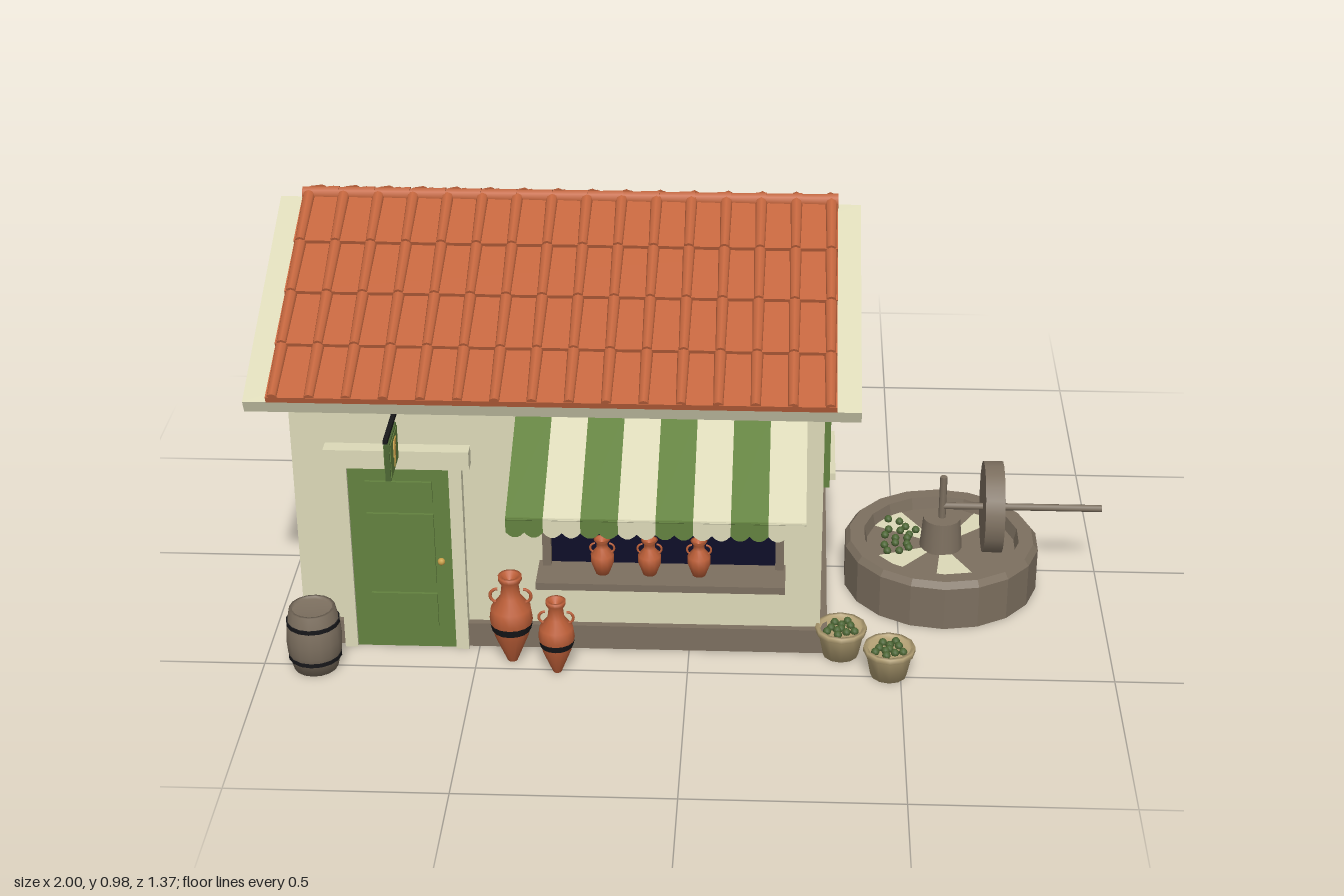
import * as THREE from 'three';

const mat = (name, color, flat) => {
  const m = new THREE.MeshStandardMaterial({ color });
  m.name = name;
  return m;
};

export function createModel() {
  const cream = mat('cream plaster', 0xdcd9b8), tile = mat('roof terracotta', 0xc4663e);
  const green = mat('painted green', 0x63823f), stone = mat('brown stone', 0x7c6f5f);
  const navy = mat('dark glass', 0x0d0d28), gold = mat('gold', 0xc9a048);
  const black = mat('black iron', 0x17171a), tan = mat('basket tan', 0xb3a074);
  const olive = mat('olive green', 0x4c6634), clay = mat('pot clay', 0xbd5f38);

  const model = new THREE.Group();
  const group = (name, parent = model, x = 0, y = 0, z = 0) => {
    const g = new THREE.Group();
    g.name = name;
    g.position.set(x, y, z);
    parent.add(g);
    return g;
  };
  const add = (parent, name, geo, m, x = 0, y = 0, z = 0) => {
    const mesh = new THREE.Mesh(geo, m);
    mesh.name = name;
    mesh.position.set(x, y, z);
    parent.add(mesh);
    return mesh;
  };
  // box given by its extents
  const box = (parent, name, m, x0, x1, y0, y1, z0, z1) => add(parent, name,
    new THREE.BoxGeometry(x1 - x0, y1 - y0, z1 - z0), m, (x0 + x1) / 2, (y0 + y1) / 2, (z0 + z1) / 2);
  const cyl = (parent, name, m, r0, r1, h, n, x, y, z) =>
    add(parent, name, new THREE.CylinderGeometry(r1, r0, h, n), m, x, y, z);
  const rod = (parent, name, m, a, b, r) => {
    const p = new THREE.Vector3(...a), d = new THREE.Vector3(...b).sub(p);
    const mesh = cyl(parent, name, m, r, r, d.length(), 8, 0, 0, 0);
    mesh.position.copy(p).addScaledVector(d, 0.5);
    mesh.quaternion.setFromUnitVectors(new THREE.Vector3(0, 1, 0), d.normalize());
  };
  const lathe = (parent, name, m, pts, x, y, z, n = 16) => add(parent, name,
    new THREE.LatheGeometry(pts.map(p => new THREE.Vector2(...p)), n), m, x, y, z);
  const extrude = (pts, depth) => new THREE.ExtrudeGeometry(
    new THREE.Shape(pts.map(p => new THREE.Vector2(...p))), { depth, bevelEnabled: false });

  // Walls, plinth and eave band
  const CX = -0.305, CZ = -0.09;
  const house = group('house');
  const walls = add(house, 'walls', extrude(
    [[-0.39, 0], [0.57, 0], [0.57, 0.69], [0.09, 0.91], [-0.39, 0.69]], 1.23), cream, -0.92, 0, 0);
  walls.rotation.y = Math.PI / 2;
  box(house, 'plinth', stone, -0.937, 0.327, 0.002, 0.065, -0.587, 0.407);
  box(house, 'eaveBand', cream, -0.937, 0.327, 0.66, 0.688, -0.587, 0.407);

  // Roof: two mirrored slopes with stepped rows of tiles
  const slope = Math.atan(0.436), len = 0.638, rows = 4, step = len / rows;
  for (const side of [0, 1]) {
    const half = group(side ? 'backRoof' : 'frontRoof', model, CX, 0.948, CZ);
    half.rotation.order = 'YXZ';
    half.rotation.set(slope, side * Math.PI, 0);
    box(half, 'roofBoard', cream, -0.695, 0.695, -0.034, 0, 0, len);
    for (let i = 0; i < rows; i++) {
      const row = group('tileRow', half, 0, 0.009, (i + 0.5) * step);
      row.rotation.x = -0.06;
      box(row, 'tilePans', tile, -0.64, 0.64, -0.008, 0.008, -step / 2, step / 2 + 0.005);
      for (let k = 0; k < 16; k++) {
        const rib = cyl(row, 'tileRib', tile, 0.015, 0.012, step, 8, -0.625 + k * 1.25 / 15, 0.006, 0.004);
        rib.rotation.x = Math.PI / 2;
      }
    }
  }
  const ridge = group('ridgeCaps');
  for (let k = 0; k < 15; k++) {
    const cap = cyl(ridge, 'ridgeCap', tile, 0.019, 0.016, 0.088, 8, -0.945 + (k + 0.5) * 1.28 / 15, 0.957, CZ);
    cap.rotation.z = Math.PI / 2;
  }

  // Lightning bolt ornaments on both gables
  const boltGeo = extrude([[-0.017, 0.07], [0.041, 0.07], [0.012, 0.027], [0.034, 0.027],
    [-0.025, -0.072], [-0.01, -0.01], [-0.043, -0.01]], 0.008);
  for (const s of [1, -1])
    add(house, 'gableBolt', boltGeo, gold, CX + s * 0.613, 0.788, CZ).rotation.y = s * Math.PI / 2;

  // Shuttered windows, built facing +z
  const shutterWindow = (name, x, z, ry) => {
    const w = group(name, model, x, 0, z);
    w.rotation.y = ry;
    box(w, 'glass', navy, -0.085, 0.085, 0.27, 0.49, 0, 0.006);
    for (const s of [-1, 1]) {
      box(w, 'jamb', cream, s * 0.092 - 0.012, s * 0.092 + 0.012, 0.27, 0.49, 0, 0.02);
      const sh = group('shutter', w, s * 0.145);
      box(sh, 'shutterPanel', green, -0.042, 0.042, 0.28, 0.485, 0, 0.012);
      for (const e of [-1, 1]) box(sh, 'shutterStile', green, e * 0.036 - 0.006, e * 0.036 + 0.006, 0.28, 0.485, 0.01, 0.02);
      for (let k = 0; k < 8; k++) {
        const slat = box(sh, 'slat', green, -0.031, 0.031, 0.288 + k * 0.024, 0.308 + k * 0.024, 0.009, 0.015);
        slat.rotation.x = -0.35;
      }
    }
    box(w, 'lintel', cream, -0.117, 0.117, 0.488, 0.515, 0, 0.032);
    box(w, 'sill', cream, -0.112, 0.112, 0.26, 0.278, 0, 0.035);
    box(w, 'verticalBar', green, -0.005, 0.005, 0.275, 0.49, 0, 0.012);
    box(w, 'crossBar', green, -0.085, 0.085, 0.397, 0.407, 0, 0.012);
  };
  shutterWindow('rightWindow', 0.31, CZ, Math.PI / 2);
  shutterWindow('leftWindow', -0.92, CZ, -Math.PI / 2);
  shutterWindow('backWindow', CX, -0.57, Math.PI);

  // Door with raised panels
  const door = group('door', model, -0.6725, 0, 0.39);
  box(door, 'doorLeaf', green, -0.12, 0.12, 0, 0.49, 0, 0.019);
  for (const [y0, y1] of [[0.06, 0.15], [0.18, 0.365], [0.395, 0.45]])
    box(door, 'doorPanel', green, -0.078, 0.078, y0, y1, 0.015, 0.026);
  for (const s of [-1, 1]) box(door, 'doorPost', cream, s * 0.133 - 0.015, s * 0.133 + 0.015, 0, 0.49, 0, 0.028);
  box(door, 'doorLintel', cream, -0.168, 0.168, 0.49, 0.537, 0, 0.037);
  add(door, 'doorKnob', new THREE.SphereGeometry(0.009, 10, 8), gold, 0.092, 0.24, 0.027);

  // Hanging sign over the door
  const sign = group('hangingSign', model, -0.67);
  box(sign, 'signBar', black, -0.005, 0.005, 0.63, 0.64, 0.39, 0.568);
  for (const z of [0.465, 0.53]) box(sign, 'signHanger', black, -0.002, 0.002, 0.615, 0.632, z - 0.003, z + 0.003);
  box(sign, 'signEdge', olive, -0.006, 0.006, 0.528, 0.62, 0.44, 0.553);
  box(sign, 'signBoard', green, -0.008, 0.008, 0.533, 0.615, 0.445, 0.548);
  for (const s of [-1, 1]) {
    const b = add(sign, 'signBolt', boltGeo, gold, s * 0.007, 0.574, 0.497);
    b.rotation.y = s * Math.PI / 2;
    b.scale.set(0.45, 0.45, 0.45);
  }

  // Shop window with sill
  const shop = group('shopWindow');
  box(shop, 'shopGlass', navy, -0.325, 0.21, 0.235, 0.53, 0.39, 0.396);
  for (const x of [-0.332, 0.212]) box(shop, 'shopPost', stone, x - 0.01, x + 0.01, 0.235, 0.54, 0.39, 0.417);
  box(shop, 'shopHeader', stone, -0.342, 0.222, 0.525, 0.545, 0.39, 0.417);
  box(shop, 'shopSill', stone, -0.352, 0.226, 0.216, 0.234, 0.39, 0.495);

  // Striped awning with scalloped valance and stays
  const awning = group('awning');
  const sw = 0.665 / 8;
  const scallop = new THREE.Shape().moveTo(-sw / 2, 0.035).lineTo(-sw / 2, 0);
  for (let k = 0; k < 2; k++) {
    const x = -sw / 2 + k * sw / 2;
    scallop.quadraticCurveTo(x + sw / 4, -0.026, x + sw / 2, 0);
  }
  scallop.lineTo(sw / 2, 0.035);
  const valance = new THREE.ExtrudeGeometry(scallop, { depth: 0.005, bevelEnabled: false, curveSegments: 5 });
  for (let i = 0; i < 8; i++) {
    const x = -0.395 + (i + 0.5) * sw, m = i % 2 ? cream : green;
    const s = add(awning, 'awningStripe', new THREE.BoxGeometry(sw, 0.006, 0.307), m, x, 0.566, 0.534);
    s.rotation.x = Math.atan(0.125 / 0.275);
    add(awning, 'valanceStripe', valance, m, x, 0.473, 0.669);
  }
  for (const x of [-0.385, 0.26]) rod(awning, 'awningStay', stone, [x, 0.485, 0.39], [x, 0.503, 0.672], 0.004);

  // Small jars on the sill
  const handles = (parent, r, y, size) => {
    for (const s of [-1, 1]) {
      const h = add(parent, 'handle', new THREE.TorusGeometry(size, size * 0.22, 6, 10, Math.PI), clay, s * r, y, 0);
      h.rotation.z = -s * Math.PI / 2;
    }
  };
  for (const x of [-0.2, -0.09, 0.025]) {
    const jar = group('sillJar', model, x, 0.234, 0.44);
    lathe(jar, 'jarBody', clay, [[0, 0], [0.016, 0], [0.027, 0.03], [0.027, 0.05], [0.013, 0.068],
      [0.013, 0.08], [0.02, 0.09], [0.015, 0.09], [0, 0.076]], 0, 0, 0, 12);
    handles(jar, 0.016, 0.066, 0.012);
  }

  // Tall pointed amphorae with black bands
  for (const [x, z, s] of [[-0.415, 0.465, 1], [-0.305, 0.51, 0.84]]) {
    const pot = group('amphora', model, x, 0, z);
    pot.scale.setScalar(s);
    lathe(pot, 'amphoraBody', clay, [[0, 0], [0.012, 0.005], [0.04, 0.075], [0.051, 0.12], [0.047, 0.15], [0.024, 0.18],
      [0.02, 0.21], [0.028, 0.225], [0.028, 0.235], [0.02, 0.235], [0, 0.21]], 0, 0, 0);
    lathe(pot, 'amphoraBand', black, [[0.046, 0.092], [0.051, 0.112]], 0, 0, 0);
    handles(pot, 0.03, 0.18, 0.018);
  }

  // Barrel
  const barrel = group('barrel', model, -0.877, 0, 0.5);
  lathe(barrel, 'barrelBody', stone, [[0, 0], [0.052, 0], [0.064, 0.05], [0.066, 0.08], [0.064, 0.11], [0.054, 0.16],
    [0.047, 0.16], [0.047, 0.152], [0, 0.152]], 0, 0, 0);
  for (const [y, r] of [[0.035, 0.063], [0.125, 0.063]]) cyl(barrel, 'barrelHoop', black, r, r, 0.01, 16, 0, y, 0);

  // Baskets of olives
  const oliveGeo = new THREE.SphereGeometry(0.01, 8, 6);
  for (const [x, z] of [[0.36, 0.4], [0.472, 0.485]]) {
    const basket = group('basket', model, x, 0, z);
    lathe(basket, 'basketBody', tan, [[0, 0], [0.043, 0], [0.055, 0.06], [0.061, 0.062], [0.061, 0.075],
      [0.052, 0.075], [0.05, 0.064], [0, 0.064]], 0, 0, 0, 12);
    for (let k = 0; k < 11; k++) {
      const r = 0.012 * Math.sqrt(k), a = k * 2.4;
      add(basket, 'olive', oliveGeo, olive, r * Math.cos(a), 0.068, r * Math.sin(a));
    }
  }

  // Olive mill: basin, hub, runner stone and pole
  const mill = group('oliveMill', model, 0.61, 0, 0.045);
  const basin = lathe(mill, 'basin', stone, [[0, 0], [0.24, 0], [0.24, 0], [0.24, 0.11], [0.24, 0.11], [0.228, 0.125], [0.228, 0.125],
    [0.192, 0.125], [0.192, 0.125], [0.185, 0.095], [0.185, 0.095], [0, 0.095]], 0, 0, 0, 18);
  basin.geometry = basin.geometry.toNonIndexed();
  basin.geometry.computeVertexNormals();
  for (const [a, w] of [[2.1, 0.55], [3.5, 0.5], [4.6, 0.6], [0.7, 0.35]]) {
    const patch = add(mill, 'pulpPatch', new THREE.RingGeometry(0.05, 0.183, 8, 1, a, w), cream, 0, 0.0965, 0);
    patch.rotation.x = -Math.PI / 2;
  }
  cyl(mill, 'hub', stone, 0.053, 0.046, 0.08, 14, 0, 0.135, 0);
  cyl(mill, 'post', stone, 0.009, 0.009, 0.12, 8, 0, 0.228, 0);
  cyl(mill, 'runnerStone', stone, 0.113, 0.113, 0.047, 20, 0.122, 0.207, 0).rotation.z = Math.PI / 2;
  rod(mill, 'pole', stone, [0, 0.207, 0], [0.39, 0.207, 0], 0.009);
  for (let k = 0; k < 16; k++) {
    const a = 2.35 + (k % 5) * 0.28 + (k % 2) * 0.07, r = 0.085 + Math.floor(k / 5) * 0.028;
    add(mill, 'millOlive', oliveGeo, olive, r * Math.cos(a), 0.102, -r * Math.sin(a));
  }
  return model;
}
